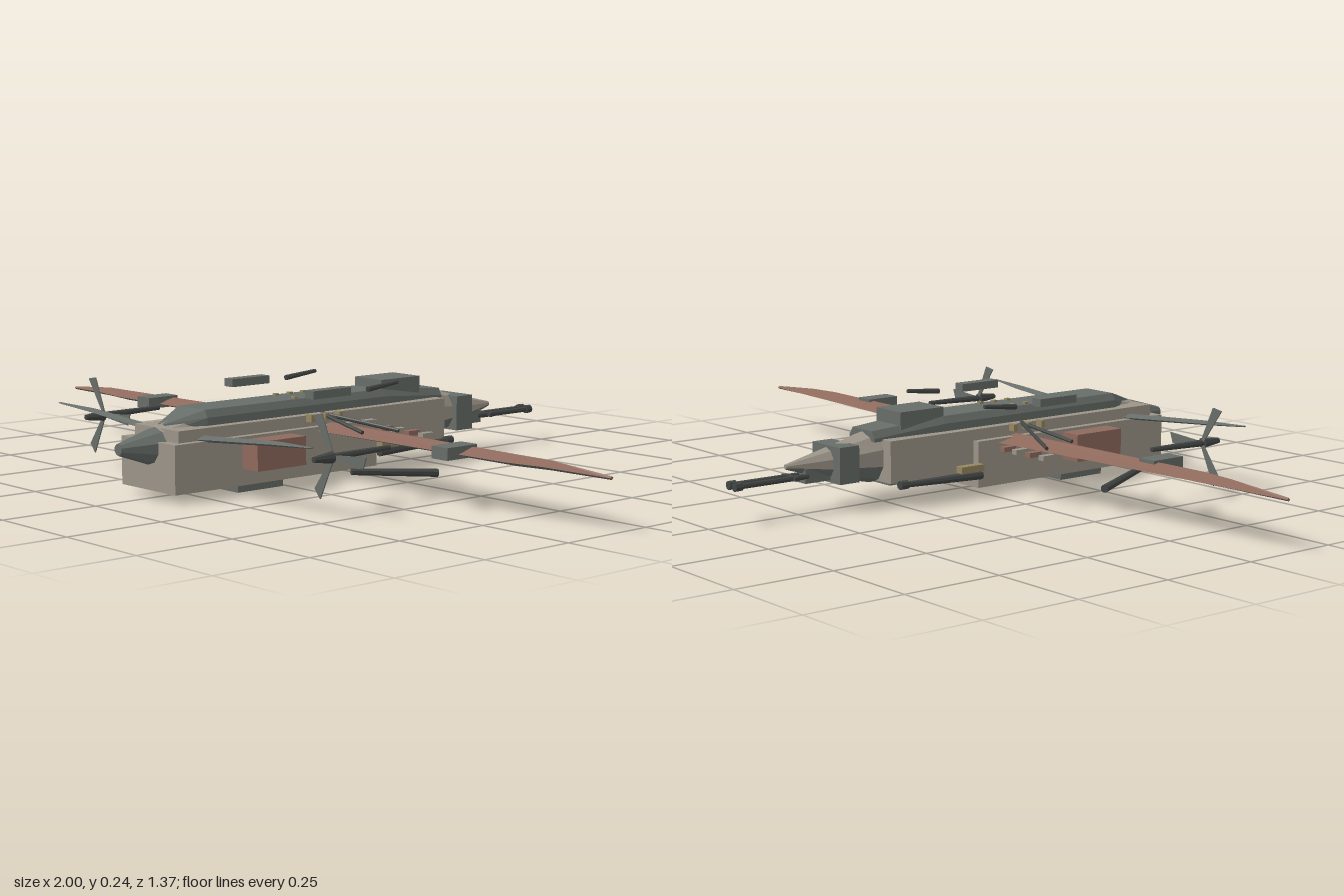
import * as THREE from 'three';

const mat = (name, color) => {
  const m = new THREE.MeshStandardMaterial({ color });
  m.name = name;
  return m;
};

// Flat-faced skin over a row of rings; pick(side, span) chooses a material index.
function loft(rings, pick = () => 0) {
  const pos = [], geo = new THREE.BufferGeometry(), n = rings[0].length;
  const add = (index, ...pts) => {
    geo.addGroup(pos.length / 3, pts.length, index);
    pts.forEach(p => pos.push(...p));
  };
  for (let r = 0; r < rings.length - 1; r++) {
    for (let i = 0; i < n; i++) {
      const j = (i + 1) % n, A = rings[r], B = rings[r + 1];
      add(pick(i, r), A[i], B[i], A[j], A[j], B[i], B[j]);
    }
  }
  const first = rings[0], last = rings[rings.length - 1];
  for (let i = 1; i < n - 1; i++) {
    add(pick(0, 0), first[0], first[i], first[i + 1]);
    add(pick(0, rings.length - 2), last[0], last[i + 1], last[i]);
  }
  geo.setAttribute('position', new THREE.Float32BufferAttribute(pos, 3));
  geo.computeVertexNormals();
  return geo;
}

export function createModel() {
  const model = new THREE.Group();
  const tan = mat('tan hull', 0x9c9488);
  const slate = mat('slate armour', 0x676d69);
  const rust = mat('rust panels', 0x8f6a5d);
  const gun = mat('gunmetal', 0x414543);
  const brass = mat('brass', 0x968760);

  const put = (name, geo, material) => {
    const mesh = new THREE.Mesh(geo, material);
    mesh.name = name;
    model.add(mesh);
    return mesh;
  };
  // Box given by its lower and upper limits on each axis
  const box = (name, m, x0, x1, y0, y1, z0, z1) =>
    put(name, new THREE.BoxGeometry(x1 - x0, y1 - y0, z1 - z0), m)
      .position.set((x0 + x1) / 2, (y0 + y1) / 2, (z0 + z1) / 2);
  // Box centred on x, or a mirrored pair
  const midBox = (name, m, w, ...yz) => box(name, m, -w, w, ...yz);
  const pairBox = (name, m, x0, x1, ...yz) => {
    box(name + 'Left', m, x0, x1, ...yz);
    box(name + 'Right', m, -x1, -x0, ...yz);
  };
  // Round bar from a to b
  const rod = (name, m, a, b, r0, r1 = r0, sides = 8) => {
    const A = new THREE.Vector3(...a), B = new THREE.Vector3(...b);
    const dir = B.clone().sub(A);
    const geo = new THREE.CylinderGeometry(r1, r0, dir.length(), sides).toNonIndexed();
    geo.computeVertexNormals();
    const mesh = put(name, geo, m);
    mesh.position.copy(A).add(B).multiplyScalar(0.5);
    mesh.quaternion.setFromUnitVectors(new THREE.Vector3(0, 1, 0), dir.normalize());
  };
  const pairRod = (name, m, a, b, ...rest) => {
    for (const s of [1, -1]) {
      rod(name + (s > 0 ? 'Left' : 'Right'), m, [a[0] * s, a[1], a[2]], [b[0] * s, b[1], b[2]], ...rest);
    }
  };

  // Faceted fuselage: z, half width, bottom, top
  const fuselage = [
    [0.685, 0.014, 0.11, 0.137], [0.58, 0.05, 0.075, 0.165], [0.47, 0.068, 0.06, 0.195],
    [-0.1, 0.068, 0.06, 0.19], [-0.29, 0.058, 0.055, 0.183],
    [-0.36, 0.045, 0.07, 0.165], [-0.42, 0.032, 0.08, 0.152], [-0.535, 0.006, 0.114, 0.126],
  ].map(([z, w, lo, hi]) => Array.from({ length: 10 }, (_, i) => {
    const a = (i + 0.5) * Math.PI / 5;
    return [w * Math.cos(a), (lo + hi) / 2 + (hi - lo) / 2 * Math.sin(a) / Math.cos(Math.PI / 10), z];
  }));
  put('fuselage', loft(fuselage, (i, r) => (r === 0 || (i > 4 && i < 9) ? 1 : 0)), [tan, slate]);

  // Slate spine along the back: z, lower half width, upper half width, top
  const spine = [
    [0.56, 0.018, 0.012, 0.172], [0.47, 0.06, 0.05, 0.202],
    [-0.1, 0.06, 0.05, 0.202], [-0.31, 0.05, 0.04, 0.186],
  ].map(([z, w, t, y]) => [[w, 0.16, z], [w, y - 0.018, z], [t, y, z], [-t, y, z], [-w, y - 0.018, z], [-w, 0.16, z]]);
  put('spine', loft(spine), slate);

  // Hull boxes
  midBox('lowerHull', tan, 0.104, 0.02, 0.137, -0.03, 0.6);
  midBox('upperHull', tan, 0.085, 0.06, 0.165, -0.287, 0.575);
  midBox('rearBellyPlate', slate, 0.07, 0.053, 0.06, -0.28, -0.03);
  midBox('bellyHatch', slate, 0.085, 0, 0.02, 0.26, 0.4);
  midBox('dorsalHousing', slate, 0.05, 0.175, 0.225, -0.23, -0.097);
  pairBox('sidePod', rust, 0.104, 0.16, 0.06, 0.13, 0.25, 0.4);

  // Four-cornered blade sections across x: x, rear z, front z, y, half thickness
  const span = half => [...half.map(([x, ...s]) => [-x, ...s]), ...[...half].reverse()]
    .map(([x, z0, z1, y, t]) => {
      const mid = z0 * 0.45 + z1 * 0.55;
      return [[x, y, z1], [x, y + t, mid], [x, y, z0], [x, y - t, mid]];
    });
  put('mainWing', loft(span([
    [1, 0.11, 0.12, 0.122, 0.004], [0.83, 0.079, 0.148, 0.128, 0.011],
    [0.73, 0.073, 0.165, 0.128, 0.013], [0.08, 0.033, 0.165, 0.127, 0.014],
  ]), i => (i < 2 ? 0 : 1)), [rust, slate]);
  put('forewing', loft(span([
    [0.487, 0.51, 0.52, 0.168, 0.002], [0.36, 0.484, 0.522, 0.161, 0.006], [0.08, 0.476, 0.522, 0.14, 0.008],
  ])), slate);

  // Wing fittings
  pairBox('wingPod', slate, 0.537, 0.588, 0.117, 0.146, 0.105, 0.2);
  pairRod('rearBrace', gun, [0.27, 0.135, 0.05], [0.08, 0.165, 0.13], 0.005);
  pairRod('frontBrace', gun, [0.25, 0.138, 0.15], [0.08, 0.165, 0.13], 0.005);
  pairRod('underwingRocket', gun, [0.44, 0.058, 0.085], [0.36, 0.073, 0.285], 0.01, 0.008);
  [0.175, 0.22, 0.27, 0.32].forEach((x, i) =>
    pairBox('trimTab' + (i + 1), i % 2 ? tan : rust, x - 0.009, x + 0.009, 0.12, 0.132, -0.012, 0.025));

  // Propellers on slim nacelles
  const blade = new THREE.Shape([[0, -0.004], [0.1, -0.015], [0.11, 0.013], [0, 0.004]]
    .map(p => new THREE.Vector2(...p)));
  const bladeGeo = new THREE.ExtrudeGeometry(blade, { depth: 0.003, bevelEnabled: false });
  pairRod('nacelle', gun, [0.44, 0.135, 0.24], [0.44, 0.131, 0.43], 0.006, 0.009);
  pairRod('spinner', gun, [0.44, 0.131, 0.415], [0.44, 0.131, 0.47], 0.014, 0.007);
  for (const s of [1, -1]) {
    for (let i = 0; i < 3; i++) {
      const b = put('propellerBlade', bladeGeo, slate);
      b.position.set(0.44 * s, 0.131, 0.41);
      b.rotation.z = i * Math.PI * 2 / 3;
    }
  }

  // Raised gun pods
  pairBox('upperGunPod', slate, 0.139, 0.17, 0.217, 0.237, 0.115, 0.235);
  pairRod('upperGunBarrel', gun, [0.155, 0.224, 0.047], [0.155, 0.234, -0.053], 0.007, 0.005);

  // Flank cannons pointing aft
  pairBox('cannonMount', brass, 0.104, 0.127, 0.067, 0.084, -0.1, -0.03);
  pairRod('cannonBarrel', gun, [0.115, 0.055, -0.03], [0.115, 0.061, -0.28], 0.011, 0.007);
  pairRod('cannonMuzzle', gun, [0.115, 0.061, -0.26], [0.115, 0.061, -0.283], 0.011);

  // Brass clamps across the spine
  for (const z of [0.09, 0.135, 0.18]) {
    pairBox('spineClamp', brass, 0.03, 0.042, 0.19, 0.207, z - 0.006, z + 0.006);
    pairBox('hullClamp', brass, 0.085, 0.106, 0.15, 0.168, z - 0.006, z + 0.006);
  }

  // Tail turret and twin guns
  midBox('tailCollar', slate, 0.057, 0.07, 0.16, -0.417, -0.36);
  midBox('tailTurret', slate, 0.018, 0.076, 0.11, -0.49, -0.417);
  midBox('gunYoke', gun, 0.03, 0.088, 0.098, -0.526, -0.515);
  pairRod('tailGun', gun, [0.013, 0.093, -0.48], [0.013, 0.093, -0.685], 0.007);
  pairRod('tailMuzzle', gun, [0.013, 0.093, -0.667], [0.013, 0.093, -0.686], 0.011);

  return model;
}
